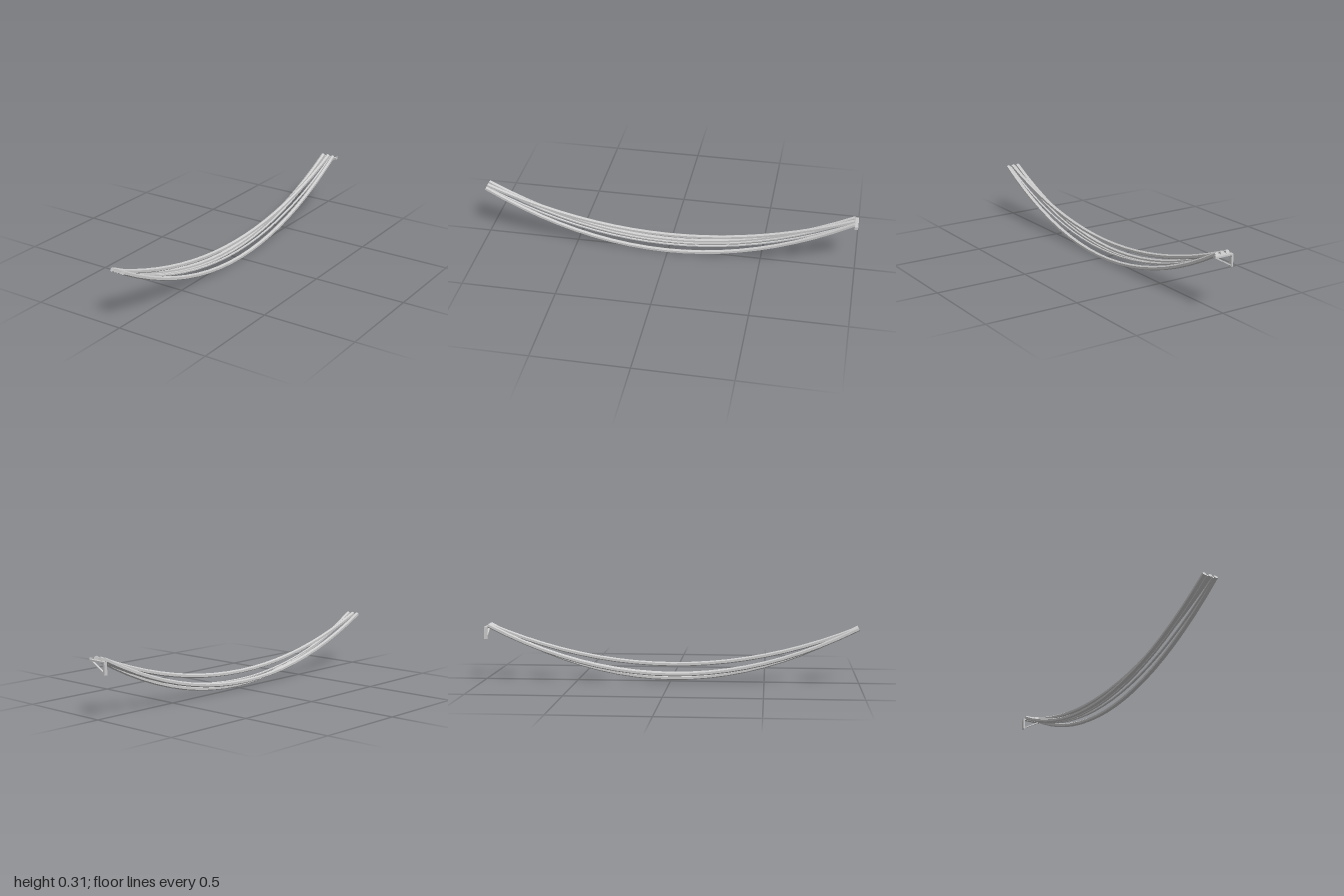
import * as THREE from 'three';

const material = new THREE.MeshStandardMaterial({ color: 0xcccccc, flatShading: true });
const HALF_SPAN = 0.987, MID_Z = 0.007;

// Six-sided cable bent into a sagging parabola along z
function cable(name, x, radius, endY, lowY) {
  const geo = new THREE.CylinderGeometry(radius, radius, 2, 6, 20);
  geo.rotateX(Math.PI / 2);
  const pos = geo.attributes.position;
  for (let i = 0; i < pos.count; i++) {
    const t = pos.getZ(i), up = pos.getY(i);
    const slope = 2 * (endY - lowY) * t / HALF_SPAN;
    const len = Math.hypot(1, slope);
    pos.setXYZ(i, x + pos.getX(i),
      lowY + (endY - lowY) * t * t + up / len,
      MID_Z + t * HALF_SPAN - up * slope / len);
  }
  geo.computeVertexNormals();
  const mesh = new THREE.Mesh(geo, material);
  mesh.name = name;
  return mesh;
}

// Square bar between two points in the bracket plane
function bar(name, x1, y1, x2, y2, width, depth) {
  const length = Math.hypot(x2 - x1, y2 - y1);
  const mesh = new THREE.Mesh(new THREE.BoxGeometry(length, width, depth), material);
  mesh.position.set((x1 + x2) / 2, (y1 + y2) / 2, -0.99);
  mesh.rotation.z = Math.atan2(y2 - y1, x2 - x1);
  mesh.name = name;
  return mesh;
}

export function createModel() {
  const model = new THREE.Group();
  model.name = 'hangingCables';

  // Three thick cables and two thin ones between them
  model.add(
    cable('rightCable', -0.034, 0.0115, 0.295, 0.0415),
    cable('middleCable', -0.002, 0.0115, 0.295, 0.0915),
    cable('leftCable', 0.03, 0.0115, 0.295, 0.0115),
    cable('rightThinCable', -0.018, 0.006, 0.289, 0.035),
    cable('leftThinCable', 0.014, 0.006, 0.289, 0.042)
  );

  // Triangular wall bracket at the back end
  const bracket = new THREE.Group();
  bracket.name = 'bracket';
  bracket.add(
    bar('crossArm', -0.053, 0.284, 0.053, 0.284, 0.008, 0.018),
    bar('wallPost', -0.049, 0.222, -0.049, 0.287, 0.01, 0.018),
    bar('diagonalBrace', -0.047, 0.229, 0.045, 0.281, 0.006, 0.012),
    bar('endStop', 0.0515, 0.28, 0.0515, 0.295, 0.003, 0.018)
  );
  model.add(bracket);
  return model;
}
